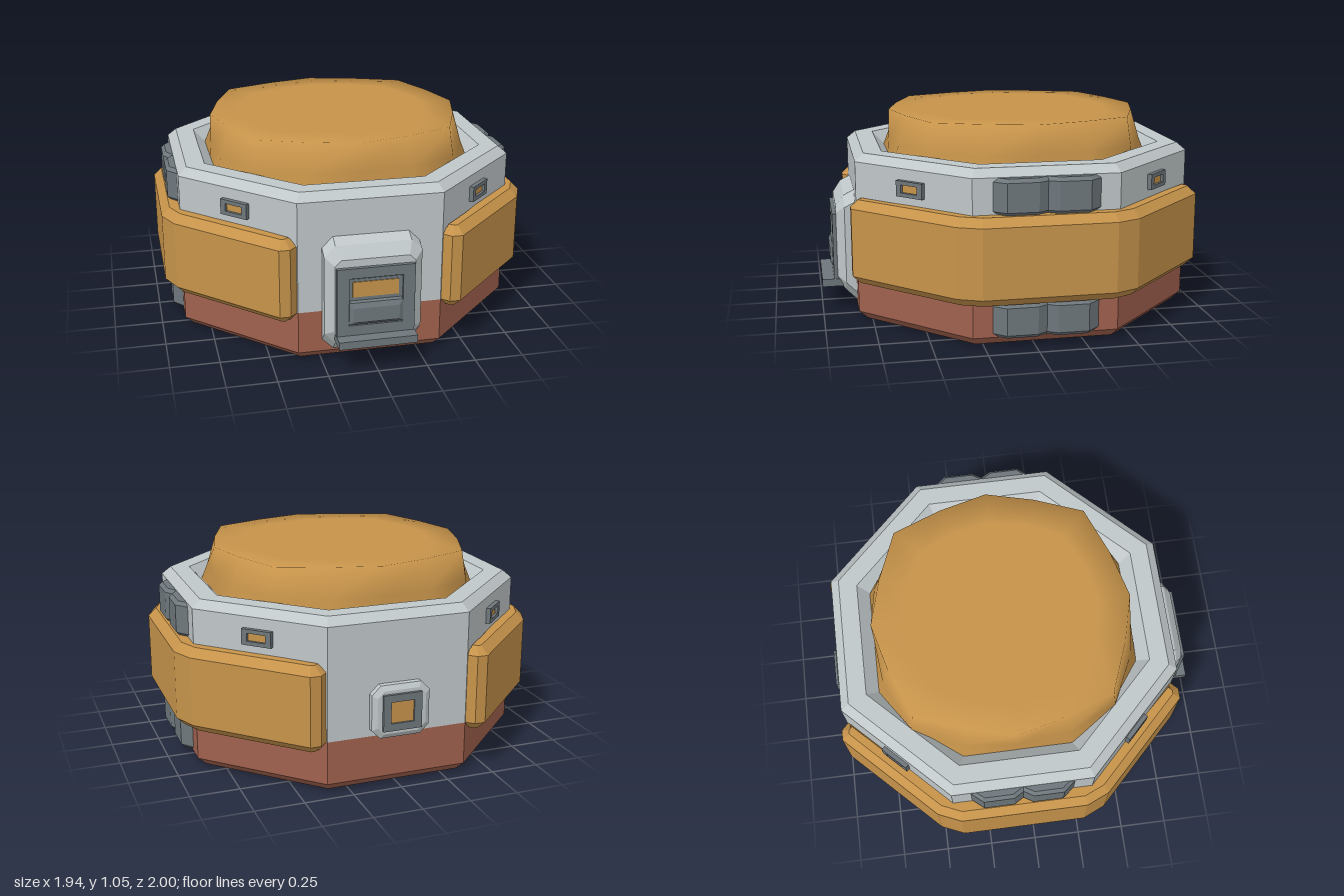
import * as THREE from 'three';

const mat = (name, color) => {
  const m = new THREE.MeshStandardMaterial({ color });
  m.name = name;
  return m;
};

const CZ = -0.06; // the hull's centre along z
const K = 1 / Math.cos(Math.PI / 8); // apothem to corner radius

export function createModel() {
  const ochre = mat('ochre paint', 0xc6934a);
  const grey = mat('light grey hull', 0xc0c7c9);
  const dark = mat('dark grey metal', 0x6e777c);
  const red = mat('red brown base', 0xa0614e);

  const model = new THREE.Group();
  const add = (parent, name, geometry, material, x = 0, y = 0, z = 0) => {
    const mesh = new THREE.Mesh(geometry, material);
    mesh.name = name;
    mesh.position.set(x, y, z);
    parent.add(mesh);
    return mesh;
  };

  // Octagonal shell from [apothem, height] pairs
  const octagon = (profile) => {
    const pts = profile.map(([a, y]) => new THREE.Vector2(a * K, y));
    const g = new THREE.LatheGeometry(pts, 8, Math.PI / 8).toNonIndexed();
    g.computeVertexNormals();
    return g;
  };

  // Plan outline in x and z, extruded upwards with bevelled edges
  const slab = (outline, height, bevel) => {
    const shape = new THREE.Shape(outline.map(([x, z]) => new THREE.Vector2(x, -z)));
    return new THREE.ExtrudeGeometry(shape, {
      depth: height - 2 * bevel, bevelThickness: bevel, bevelSize: bevel,
      bevelOffset: -bevel, bevelSegments: 1,
    }).rotateX(-Math.PI / 2).translate(0, bevel, 0);
  };

  // Flat rectangular frame facing +z
  const frame = (w, h, holeW, holeH, depth) => {
    const rect = (s, a, b) => s.moveTo(-a, -b).lineTo(a, -b).lineTo(a, b).lineTo(-a, b).closePath();
    const s = rect(new THREE.Shape(), w / 2, h / 2);
    s.holes.push(rect(new THREE.Path(), holeW / 2, holeH / 2));
    return new THREE.ExtrudeGeometry(s, { depth, bevelEnabled: false });
  };

  // Loft of chamfered rectangles [half width, bottom, top, chamfer, z], capped in front
  const housing = (sections) => {
    const pos = [], idx = [];
    for (const [w, b, t, c, z] of sections) {
      for (const [x, y] of [[w - c, b], [w, b + c], [w, t - c], [w - c, t],
        [c - w, t], [-w, t - c], [-w, b + c], [c - w, b]]) pos.push(x, y, z);
    }
    for (let j = 0; j < sections.length - 1; j++) {
      for (let k = 0; k < 8; k++) {
        const a = j * 8 + k, d = j * 8 + (k + 1) % 8;
        idx.push(a, d, d + 8, a, d + 8, a + 8);
      }
    }
    const f = (sections.length - 1) * 8;
    for (let k = 1; k < 7; k++) idx.push(f, f + k, f + k + 1);
    let g = new THREE.BufferGeometry();
    g.setAttribute('position', new THREE.Float32BufferAttribute(pos, 3));
    g.setIndex(idx);
    g = g.toNonIndexed();
    g.computeVertexNormals();
    return g;
  };

  // Hull
  add(model, 'base', octagon([[0, 0], [0.835, 0], [0.88, 0.045], [0.88, 0.265]]), red, 0, 0, CZ);
  add(model, 'hull', octagon([[0.88, 0.265], [0.88, 0.84], [0.835, 0.88], [0.74, 0.88], [0.675, 0.81]]),
    grey, 0, 0, CZ);

  // Smooth, faceted roof cap: an octagon standing on a rounder foot
  const cap = () => {
    const rings = [
      { y: 0.81, r: [0.68, 0.736, 0.745] },
      { y: 0.9, r: [0.675, 0.7, 0.74] },
      { y: 1.05, r: [0.67, 0.655, 0.715] },
      { y: 1.05, r: [0.5, 0.5, 0.53] },
    ];
    const n = 16, pos = [], idx = [];
    for (const { y, r } of rings) {
      for (let k = 0; k < n; k++) {
        const rad = r[[0, 1, 2, 1][k % 4]], t = (k / n) * Math.PI * 2;
        pos.push(rad * Math.sin(t), y, rad * Math.cos(t));
      }
    }
    const tip = rings.length * n;
    pos.push(0, 1.05, 0);
    for (let k = 0; k < n; k++) {
      const next = (k + 1) % n;
      for (let j = 0; j < rings.length - 1; j++) {
        const a = j * n + k, b = j * n + next;
        idx.push(a, b, b + n, a, b + n, a + n);
      }
      idx.push(tip - n + k, tip - n + next, tip);
    }
    const g = new THREE.BufferGeometry();
    g.setAttribute('position', new THREE.Float32BufferAttribute(pos, 3));
    g.setIndex(idx);
    g.computeVertexNormals();
    return g;
  };
  add(model, 'roofCap', cap(), ochre, 0, 0, CZ);

  // Wrap-around bumpers and side clamps, mirrored left and right
  const bumperHalf = [[0.36, 0.85], [0.365, 0.872], [0.405, 0.912], [0.46, 0.912], [0.92, 0.45], [0.972, 0.33]];
  const clampHalf = [[0.84, 0.265], [0.88, 0.265], [0.93, 0.205], [0.93, 0.05]];
  const flip = (pts) => pts.map(([x, z]) => [x, -z]).reverse();
  for (const side of [1, -1]) {
    const mirror = (pts) => pts.map(([x, z]) => [x * side, z]);
    const name = side > 0 ? 'left' : 'right';
    const bumper = [...bumperHalf, ...flip(bumperHalf), [0.82, -0.34], [0.82, 0.34]];
    add(model, name + 'Bumper', slab(mirror(bumper), 0.437, 0.042), ochre, 0, 0.223, CZ);
    const clamp = [...clampHalf, [0.9, 0], ...flip(clampHalf)];
    add(model, name + 'UpperClamp', slab(mirror(clamp), 0.18, 0.018), dark, 0, 0.658, CZ);
    add(model, name + 'LowerClamp', slab(mirror(clamp), 0.175, 0.018), dark, 0, 0.047, CZ);
  }

  // Marker lamps on the four diagonal faces
  for (let i = 0; i < 4; i++) {
    const angle = Math.PI / 4 + i * Math.PI / 2;
    const lamp = new THREE.Group();
    lamp.name = 'markerLamp';
    lamp.position.set(0.88 * Math.sin(angle), 0.743, CZ + 0.88 * Math.cos(angle));
    lamp.rotation.y = angle;
    add(lamp, 'lampFrame', frame(0.16, 0.08, 0.1, 0.04, 0.028), dark, 0, 0, -0.005);
    add(lamp, 'lampGlass', new THREE.BoxGeometry(0.1, 0.04, 0.012), ochre, 0, 0, 0.003);
    model.add(lamp);
  }

  // Front door with its window, lower panel and step
  const door = new THREE.Group();
  door.name = 'frontDoor';
  add(door, 'doorHousing', housing([
    [0.245, 0.05, 0.66, 0.055, 0.815], [0.245, 0.11, 0.63, 0.055, 0.875], [0.2, 0.165, 0.57, 0.03, 0.918],
  ]), grey);
  add(door, 'doorFrame', frame(0.39, 0.355, 0.27, 0.25, 0.03), dark, 0, 0.353, 0.908);
  add(door, 'doorPanel', new THREE.BoxGeometry(0.28, 0.26, 0.012), dark, 0, 0.34, 0.918);
  add(door, 'doorWindow', new THREE.BoxGeometry(0.23, 0.08, 0.008), ochre, 0, 0.415, 0.924);
  add(door, 'lowerPanel', housing([
    [0.135, 0.225, 0.36, 0.005, 0.915], [0.135, 0.235, 0.35, 0.005, 0.94], [0.115, 0.25, 0.325, 0.005, 0.952],
  ]), dark);
  add(door, 'step', new THREE.BoxGeometry(0.395, 0.04, 0.11), dark, 0, 0.155, 0.945);
  model.add(door);

  // Rear window
  const rear = new THREE.Group();
  rear.name = 'rearWindow';
  rear.position.set(0, 0.395, CZ - 0.88);
  rear.rotation.y = Math.PI;
  add(rear, 'rearHousing', housing([
    [0.15, -0.135, 0.135, 0.045, -0.01], [0.15, -0.135, 0.135, 0.045, 0.03], [0.125, -0.11, 0.11, 0.035, 0.045],
  ]), grey);
  add(rear, 'rearFrame', frame(0.2, 0.185, 0.12, 0.11, 0.025), dark, 0, 0, 0.035);
  add(rear, 'rearGlass', new THREE.BoxGeometry(0.12, 0.11, 0.008), ochre, 0, 0, 0.045);
  model.add(rear);

  return model;
}
